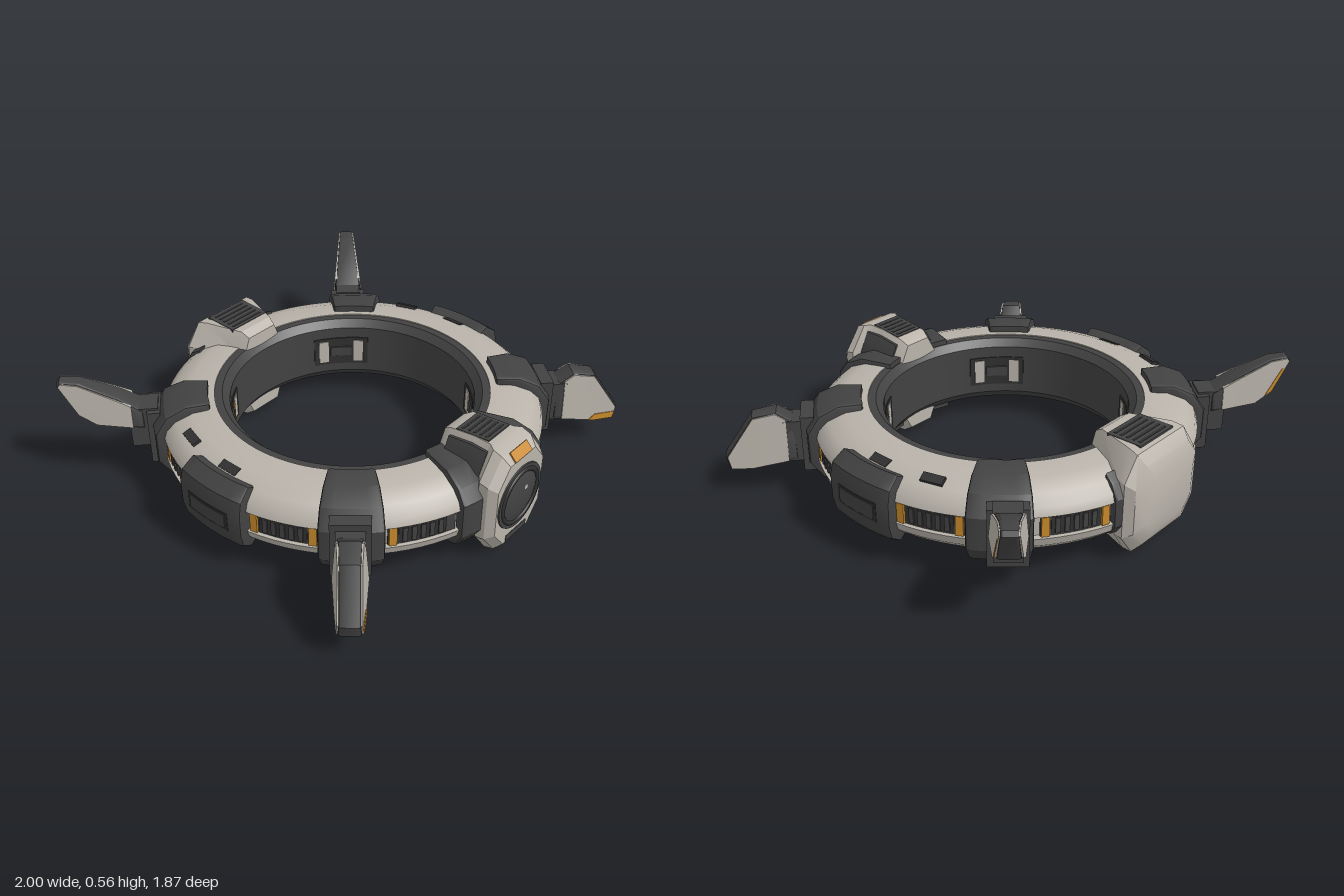
import * as THREE from 'three';
import { toCreasedNormals } from 'three/addons/utils/BufferGeometryUtils.js';

const material = (name, color) => {
  const m = new THREE.MeshStandardMaterial({ color });
  m.name = name;
  return m;
};
const RAD = Math.PI / 180;
const MID = 0.265; // height of the ring's centre plane

export function createModel() {
  const shell = material('pale shell', 0xb9b3aa);
  const dark = material('dark metal', 0x424242);
  const black = material('vent black', 0x303030);
  const orange = material('orange accent', 0xc8892b);

  const model = new THREE.Group();
  const ring = new THREE.Group();
  ring.name = 'ring';
  ring.position.z = -0.018;
  model.add(ring);

  const add = (parent, name, geometry, mat) => {
    const mesh = new THREE.Mesh(geometry, mat);
    mesh.name = name;
    parent.add(mesh);
    return mesh;
  };
  const shapeOf = (pts) => new THREE.Shape(pts.map(([x, y]) => new THREE.Vector2(x, y)));

  // Sweeps a (radius, height) profile round the y axis; angles in degrees from +z towards +x
  const arc = (name, profile, from, to, mat, bevel = 0) => {
    const a0 = from * RAD, a1 = to * RAD;
    const b = bevel / 0.8;
    const g = new THREE.ExtrudeGeometry(shapeOf(profile), {
      depth: a1 - a0 - 2 * b, steps: Math.max(1, Math.round((to - from) / 3.75)),
      bevelEnabled: bevel > 0, bevelThickness: b, bevelSize: bevel, bevelOffset: -bevel, bevelSegments: 2,
    });
    const p = g.attributes.position;
    for (let i = 0; i < p.count; i++) {
      const r = p.getX(i), a = a1 - b - p.getZ(i);
      p.setXYZ(i, r * Math.sin(a), p.getY(i), r * Math.cos(a));
    }
    return add(ring, name, toCreasedNormals(g, 0.5), mat);
  };
  const band = (r0, r1, y0, y1) => [[r0, y0], [r1, y0], [r1, y1], [r0, y1]];

  // Lofts octagons along z; each section is [z, half width, half height]
  const loft = (name, sections, y, mat, cx = 0.55, cy = 0.55) => {
    const pos = [], idx = [], n = sections.length;
    for (const [z, w, h] of sections) {
      for (const [u, v] of [[1, -cy], [1, cy], [cx, 1], [-cx, 1], [-1, cy], [-1, -cy], [-cx, -1], [cx, -1]]) {
        pos.push(u * w, y + v * h, z);
      }
    }
    for (let s = 0; s < n - 1; s++) {
      for (let i = 0; i < 8; i++) {
        const a = s * 8 + i, b = s * 8 + (i + 1) % 8;
        idx.push(a, b, b + 8, a, b + 8, a + 8);
      }
    }
    const e = (n - 1) * 8;
    for (let i = 1; i < 7; i++) idx.push(0, i + 1, i, e, e + i, e + i + 1);
    const g = new THREE.BufferGeometry();
    g.setAttribute('position', new THREE.Float32BufferAttribute(pos, 3));
    g.setIndex(idx);
    return add(model, name, toCreasedNormals(g, 0.5), mat);
  };
  const box = (name, w, h, d, x, y, z, mat, parent = model) => {
    const m = add(parent, name, new THREE.BoxGeometry(w, h, d), mat);
    m.position.set(x, y, z);
    return m;
  };

  // Ring: dark inner wall and pale outer shell with a groove for the vents
  arc('innerWall', [[0.562, 0.14], [0.592, 0.1], [0.67, 0.1], [0.67, 0.4], [0.63, 0.425], [0.595, 0.425], [0.562, 0.39]], 0, 360, dark);
  arc('outerShell', [[0.665, 0.103], [0.74, 0.105], [0.82, 0.135], [0.863, 0.175], [0.876, 0.215], [0.852, 0.219], [0.852, 0.313],
    [0.876, 0.317], [0.863, 0.355], [0.82, 0.395], [0.74, 0.426], [0.63, 0.43], [0.63, 0.3], [0.665, 0.3]], 0, 360, shell);

  // Clamps, inner windows and outer vents round the ring
  const clampProfile = [[0.66, 0.07], [0.77, 0.07], [0.86, 0.11], [0.915, 0.19], [0.915, 0.34], [0.86, 0.42], [0.77, 0.46], [0.66, 0.46]];
  for (const c of [49.3, 130.3, 229.7, 310.7]) arc('clamp', clampProfile, c - 8.7, c + 8.7, dark, 0.015);
  for (const c of [43, 137, 223, 317]) {
    arc('innerWindow', band(0.557, 0.566, 0.185, 0.335), c - 14, c + 14, black);
    for (const s of [-1, 1]) {
      arc('windowPanel', band(0.553, 0.559, 0.2, 0.32), c + s * 9 - 2.5, c + s * 9 + 2.5, shell);
    }
    arc('windowBar', band(0.55, 0.559, 0.235, 0.285), c - 5.5, c + 5.5, dark);
  }
  arc('windowLight', band(0.548, 0.554, 0.21, 0.31), 218.5, 220, orange);
  const vent = (c, lights) => {
    arc('ventPanel', band(0.845, 0.86, 0.212, 0.32), c - 10, c + 10, dark);
    arc('ventSlot', band(0.855, 0.863, 0.225, 0.307), c - 7, c + 7, black);
    for (let i = -2; i <= 2; i++) arc('ventSlat', band(0.855, 0.869, 0.23, 0.302), c + i * 2.6 - 0.7, c + i * 2.6 + 0.7, dark);
    for (const s of lights) arc('ventLight', band(0.855, 0.871, 0.22, 0.312), c + s * 8.6 - 1.1, c + s * 8.6 + 1.1, orange);
  };
  for (const c of [68.3, 111, 151, 209, 249, 291.7]) vent(c, [-1, 1]);
  vent(29.5, [1]);
  vent(330.5, [-1]);

  // Side plates and small slots in the top of the shell
  for (const c of [90, 270]) {
    arc('sidePlate', [[0.8, 0.13], [0.845, 0.105], [0.905, 0.15], [0.92, 0.21], [0.92, 0.32], [0.905, 0.38], [0.845, 0.425], [0.8, 0.4]],
      c - 11.8, c + 11.2, dark, 0.012);
    arc('sidePlateInset', band(0.912, 0.922, 0.22, 0.31), c - 7.5, c + 7, black);
    arc('sidePlatePanel', band(0.914, 0.925, 0.23, 0.3), c - 6.7, c + 6.2, dark);
  }
  for (const s of [-1, 1]) {
    for (const [x, y, z, turn] of [[0.74, 0.411, -0.272, 0.3], [0.775, 0.405, -0.002, 0]]) {
      const slot = box('topSlot', 0.042, 0.02, 0.1, s * x, y, z, black, ring);
      slot.rotation.set(0, s * turn, -s * 0.4, 'YXZ');
    }
  }

  // Dark collars beside the front pod, small dark shoulders beside the rear pod
  const collar = [[0.6, 0.075], [0.76, 0.075], [0.85, 0.11], [0.895, 0.18], [0.895, 0.35], [0.85, 0.41], [0.76, 0.45], [0.6, 0.45]];
  const shoulder = [[0.8, 0.13], [0.85, 0.15], [0.885, 0.2], [0.885, 0.33], [0.85, 0.39], [0.8, 0.418]];
  for (const s of [-1, 1]) {
    arc('frontCollar', collar, s * 14.2 - 4.6, s * 14.2 + 4.6, dark, 0.015);
    arc('rearShoulder', shoulder, 180 + s * 15 - 3.2, 180 + s * 15 + 3.2, dark, 0.01);
  }

  // Front pod with its lens
  loft('frontPod', [[0.56, 0.12, 0.225], [0.6, 0.14, 0.25], [0.72, 0.142, 0.265], [0.8, 0.15, 0.268], [0.83, 0.19, 0.265],
    [0.875, 0.19, 0.25], [0.912, 0.165, 0.21]], 0.275, shell);
  loft('podSidePanels', [[0.605, 0.147, 0.225], [0.72, 0.15, 0.24], [0.805, 0.157, 0.24]], 0.275, dark, 0.7, 0.62);
  const lens = new THREE.Group();
  lens.name = 'lens';
  lens.position.set(0, 0.28, 0.9);
  model.add(lens);
  const tube = add(lens, 'lensHousing', new THREE.CylinderGeometry(0.155, 0.17, 0.06, 40), dark);
  tube.rotation.x = Math.PI / 2;
  tube.position.z = -0.012;
  add(lens, 'lensGap', new THREE.TorusGeometry(0.128, 0.012, 10, 48), black).position.z = 0.014;
  const glass = add(lens, 'lensGlass', new THREE.SphereGeometry(0.12, 40, 20), dark);
  glass.scale.z = 0.22;
  glass.position.z = 0.008;
  add(lens, 'lensGlint', new THREE.CircleGeometry(0.013, 12), shell).position.set(0.015, 0.05, 0.034);
  const brow = box('browLight', 0.12, 0.048, 0.009, 0, 0.505, 0.897, orange);
  brow.rotation.x = -0.75;
  box('chinSlot', 0.15, 0.03, 0.009, 0, 0.085, 0.91, dark);

  // Rear pod
  loft('rearPod', [[-0.935, 0.16, 0.13], [-0.91, 0.215, 0.19], [-0.87, 0.24, 0.235], [-0.82, 0.225, 0.245], [-0.64, 0.14, 0.24],
    [-0.6, 0.125, 0.215]], 0.265, shell, 0.68, 0.55);

  // Slatted vents on top and bottom of both pods
  const podVent = (y, z, w, d, tilt) => {
    for (const s of [-1, 1]) {
      const g = new THREE.Group();
      g.name = s > 0 ? 'topVent' : 'bottomVent';
      g.position.set(0, y[0] + s * y[1], z);
      g.rotation.x = s * tilt;
      box('ventTray', w, 0.02, d, 0, 0, 0, dark, g);
      for (let i = -2; i <= 2; i++) box('ventGap', w * 0.8, 0.023, 0.013, 0, 0, i * d * 0.18, black, g);
      model.add(g);
    }
  };
  podVent([0.275, 0.255], 0.705, 0.15, 0.165, -0.1);
  podVent([0.265, 0.236], -0.765, 0.23, 0.17, 0.02);

  // Fins: dark blade with pale side plates and an orange tip on one side; thinner towards tip and top
  const finGeometry = (fin, profile, depth, bevel, shift = 0) => {
    const g = new THREE.ExtrudeGeometry(shapeOf(profile), {
      depth, bevelEnabled: bevel > 0, bevelThickness: bevel, bevelSize: bevel, bevelOffset: -bevel, bevelSegments: 2,
    });
    g.translate(0, 0, shift - depth / 2);
    const p = g.attributes.position;
    for (let i = 0; i < p.count; i++) {
      const t = (p.getX(i) - 0.96) / (fin.tip - 0.96);
      const v = (p.getY(i) - fin.low) / (fin.high - fin.low);
      p.setZ(i, p.getZ(i) * (1.12 - 0.42 * t) * (1.25 - 0.35 * v));
    }
    return toCreasedNormals(g, 0.5);
  };
  const fins = [
    { name: 'frontFin', angle: 49.5, neckY: 0.29, tip: 1.285, low: 0.138, high: 0.415, accentSide: (s) => s,
      profile: [[0.96, 0.18], [1.17, 0.138], [1.27, 0.138], [1.285, 0.2], [1.15, 0.395], [1.04, 0.415], [0.96, 0.36]],
      plate: [[1.0, 0.178], [1.17, 0.143], [1.262, 0.143], [1.275, 0.2], [1.147, 0.387], [1.045, 0.409], [1.0, 0.38]],
      accent: [[1.14, 0.151], [1.17, 0.145], [1.261, 0.145], [1.271, 0.178], [1.17, 0.178]] },
    { name: 'rearFin', angle: 132.5, neckY: 0.33, tip: 1.315, low: 0.31, high: 0.56, accentSide: () => 1,
      profile: [[0.95, 0.31], [1.16, 0.335], [1.24, 0.39], [1.315, 0.54], [1.3, 0.56], [1.22, 0.55], [1.05, 0.465], [0.95, 0.4]],
      plate: [[1.0, 0.323], [1.158, 0.342], [1.234, 0.395], [1.307, 0.54], [1.297, 0.554], [1.222, 0.543], [1.055, 0.46], [1.0, 0.43]],
      accent: [[1.2, 0.372], [1.234, 0.396], [1.29, 0.507], [1.275, 0.507], [1.215, 0.4]] },
  ];
  for (const f of fins) {
    for (const s of [-1, 1]) {
      const g = new THREE.Group();
      g.name = f.name;
      g.rotation.y = s * f.angle * RAD - Math.PI / 2;
      ring.add(g);
      add(g, 'finBlade', finGeometry(f, f.profile, 0.078, 0.015), dark);
      add(g, 'finSidePlate', finGeometry(f, f.plate, 0.118, 0), shell);
      add(g, 'finAccent', finGeometry(f, f.accent, 0.008, 0, f.accentSide(s) * 0.058), orange);
      box('finNeck', 0.13, 0.2, 0.12, 0.95, f.neckY - 0.02, 0, dark, g);
      box('finFoot', 0.06, 0.27, 0.17, 0.905, MID, 0, dark, g);
    }
  }

  return model;
}
